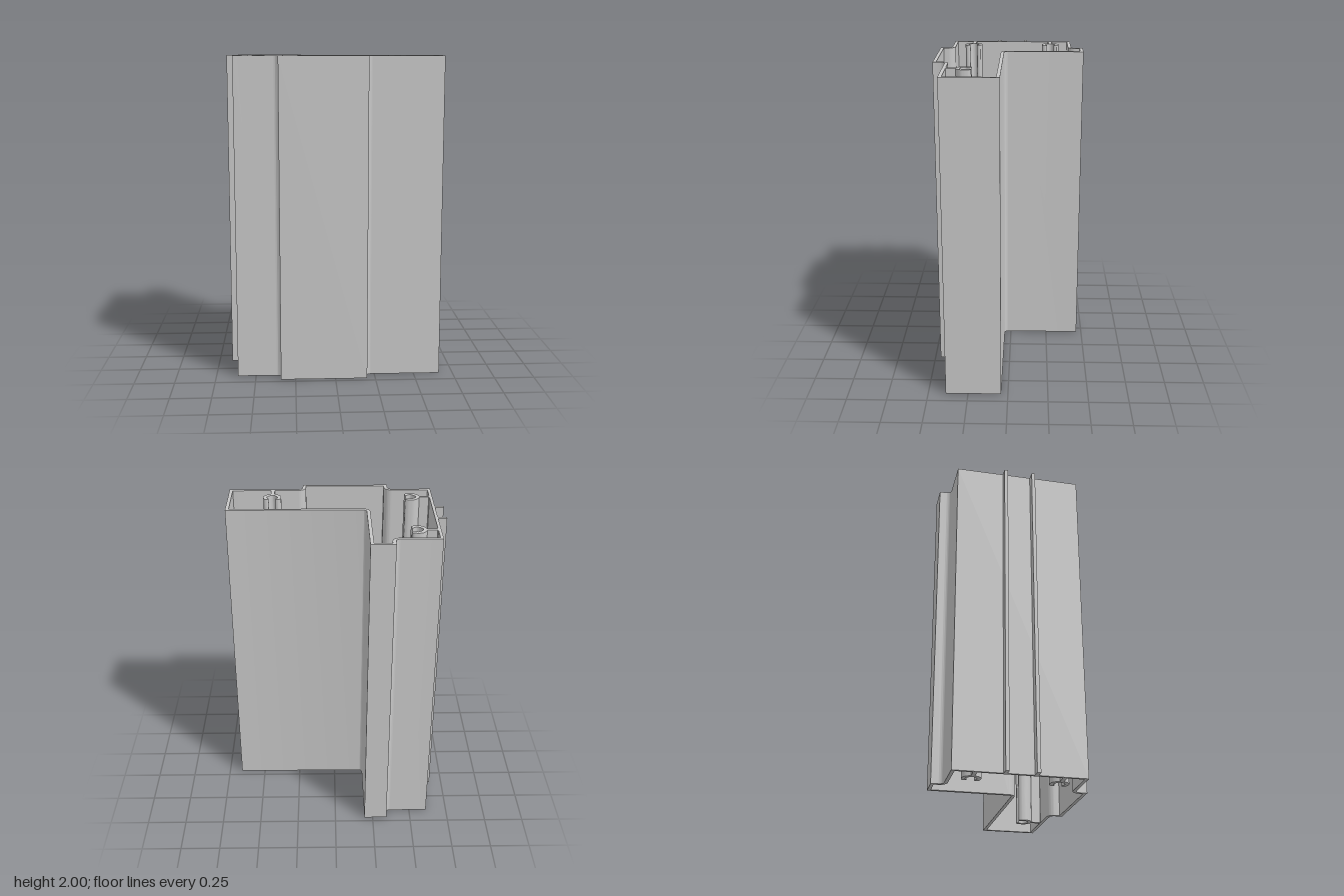
import * as THREE from 'three';
import { toCreasedNormals } from 'three/addons/utils/BufferGeometryUtils.js';

const HEIGHT = 2;

// Path through [x, z, cornerRadius] points; shape y is -z so it stands upright once turned
function trace(path, corners) {
  const pts = corners.map(([x, z, r = 0]) => ({ p: new THREE.Vector2(x, -z), r }));
  const n = pts.length;
  pts.forEach(({ p, r }, i) => {
    const toward = (q, d) => p.clone().add(q.clone().sub(p).setLength(d));
    const prev = pts[(i + n - 1) % n].p, next = pts[(i + 1) % n].p;
    const a = r ? toward(prev, r) : p;
    if (i === 0) path.moveTo(a.x, a.y); else path.lineTo(a.x, a.y);
    if (r) {
      const c1 = toward(prev, r * 0.45), c2 = toward(next, r * 0.45), b = toward(next, r);
      path.bezierCurveTo(c1.x, c1.y, c2.x, c2.y, b.x, b.y);
    }
  });
  path.closePath();
  return path;
}

export function createModel() {
  const group = new THREE.Group();
  const aluminium = new THREE.MeshStandardMaterial({ color: 0xc8c8c8 });
  aluminium.name = 'aluminium grey';

  const addExtrusion = (name, shape) => {
    const geo = new THREE.ExtrudeGeometry(shape, { depth: HEIGHT, bevelEnabled: false, curveSegments: 20 });
    geo.rotateX(-Math.PI / 2);
    const mesh = new THREE.Mesh(toCreasedNormals(geo, 0.6), aluminium);
    mesh.name = name;
    group.add(mesh);
  };

  // Hollow L-shaped wall with stepped, filleted corners
  const wall = trace(new THREE.Shape(), [
    [-0.614, -0.393], [-0.342, -0.393, 0.028], [-0.342, -0.466], [-0.195, -0.466],
    [-0.195, 0.043, 0.024], [0.664, 0.043], [0.664, 0.39], [0.199, 0.39, 0.028],
    [0.199, 0.465], [-0.342, 0.465], [-0.342, 0.39, 0.028], [-0.614, 0.39],
  ]);
  // The cavity runs the opposite way round so its faces look inward
  wall.holes.push(trace(new THREE.Path(), [
    [-0.596, -0.372], [-0.321, -0.372, 0.05], [-0.321, -0.446], [-0.216, -0.446],
    [-0.216, 0.064, 0.046], [0.643, 0.064], [0.643, 0.369], [0.178, 0.369, 0.05],
    [0.178, 0.444], [-0.321, 0.444], [-0.321, 0.369, 0.05], [-0.596, 0.369],
  ].reverse()));
  addExtrusion('profileWall', wall);

  // Two small fins on the outer side
  for (const [name, z] of [['rearFin', -0.09], ['frontFin', 0.088]]) {
    addExtrusion(name, trace(new THREE.Shape(), [
      [-0.667, z - 0.011], [-0.612, z - 0.011], [-0.612, z + 0.011], [-0.667, z + 0.011],
    ]));
  }

  // Screw bosses: a stem with an open C-shaped claw; u runs from the wall, v sideways
  const half = [
    [0.064, 0.011], [0.072, 0.03], [0.085, 0.046], [0.1, 0.054], [0.118, 0.056], [0.139, 0.054],
    [0.153, 0.046], [0.156, 0.038], [0.155, 0.028], [0.148, 0.021], [0.14, 0.023],
    [0.129, 0.032], [0.116, 0.034], [0.102, 0.025], [0.088, 0.011],
  ];
  const mirrored = half.map(([u, v]) => [u, -v]).reverse();
  const claw = new THREE.SplineCurve([...half, [0.085, 0], ...mirrored].map(([u, v]) => new THREE.Vector2(u, v)));
  const outline = [
    [0, 0.017], [0.005, 0.012], ...claw.getPoints(90).map((p) => [p.x, p.y]), [0.005, -0.012], [0, -0.017],
  ];
  const addBoss = (name, toXZ) => addExtrusion(name, trace(new THREE.Shape(), outline.map(([u, v]) => toXZ(u, v))));
  addBoss('rearScrewBoss', (u, v) => [-0.597 + u, -0.257 + v]);
  addBoss('frontScrewBoss', (u, v) => [-0.597 + u, 0.255 + v]);
  addBoss('sideScrewBoss', (u, v) => [0.387 + v, 0.373 - u]);

  return group;
}
